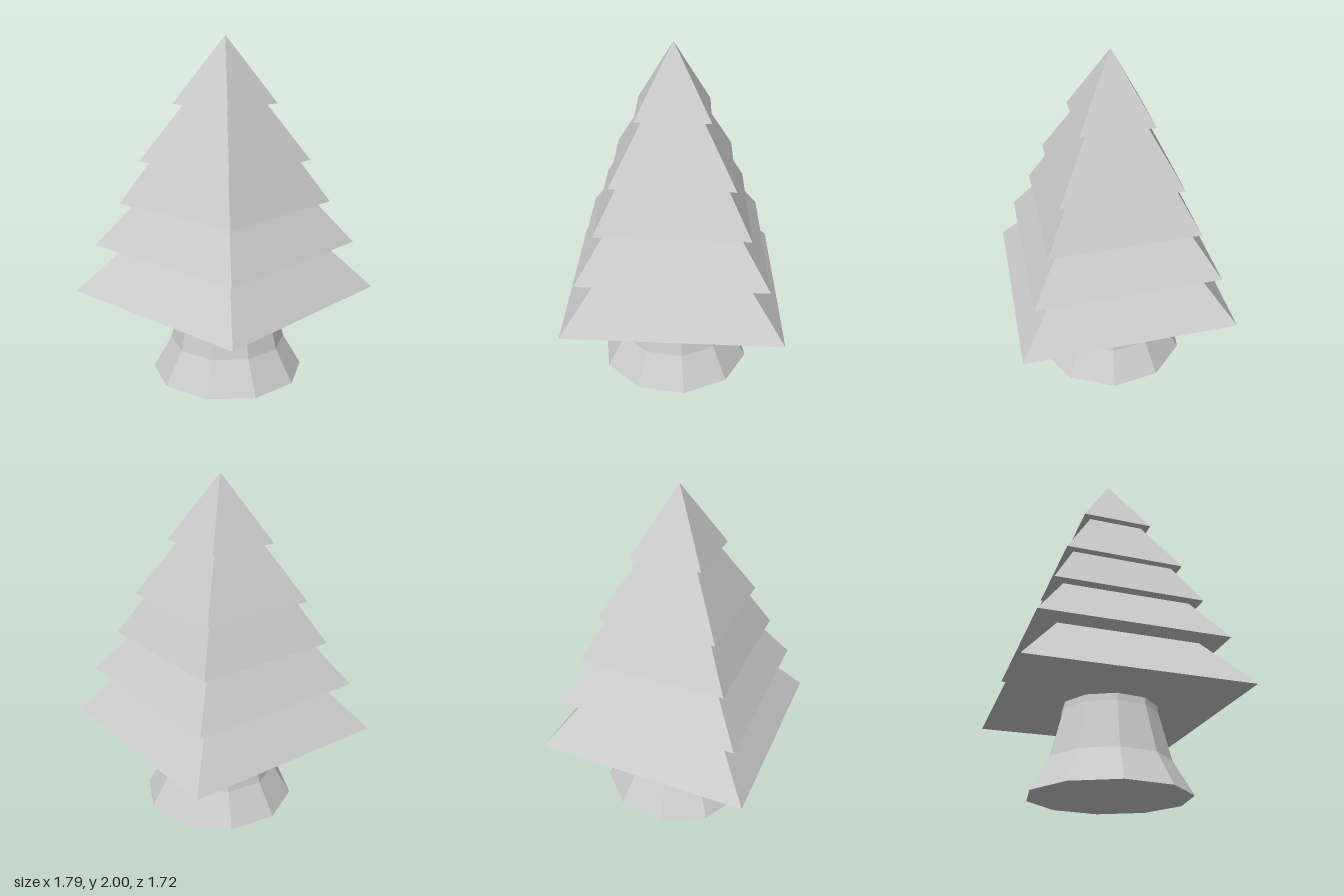
import * as THREE from 'three';

export function createModel() {
  const tree = new THREE.Group();
  tree.name = 'pineTree';
  const material = new THREE.MeshStandardMaterial({ color: 0xcccccc, flatShading: true });

  // Ten-sided trunk, flared at the foot and closed underneath
  const profile = [[0, 0], [0.455, 0], [0.345, 0.19], [0.276, 0.46], [0.269, 0.52], [0, 0.52]]
    .map(([r, y]) => new THREE.Vector2(r, y));
  const trunk = new THREE.Mesh(new THREE.LatheGeometry(profile, 10, Math.PI / 2), material);
  trunk.name = 'trunk';
  trunk.position.x = 0.013;
  tree.add(trunk);

  // Four-sided foliage tiers: bottom y, top y, bottom radius, top radius
  const tiers = [
    [0.5, 0.787, 0.895, 0.58],
    [0.787, 1.04, 0.77, 0.53],
    [1.04, 1.29, 0.62, 0.43],
    [1.29, 1.62, 0.498, 0.235],
    [1.62, 2, 0.3, 0],
  ];
  const foliage = new THREE.Group();
  foliage.name = 'foliage';
  foliage.scale.z = 0.962; // slightly shallower than wide
  tiers.forEach(([y0, y1, r0, r1], i) => {
    const geometry = new THREE.CylinderGeometry(r1, r0, y1 - y0, 4);
    const tier = new THREE.Mesh(geometry, material);
    tier.name = `foliageTier${i + 1}`;
    tier.position.y = (y0 + y1) / 2;
    foliage.add(tier);
  });
  tree.add(foliage);

  return tree;
}
